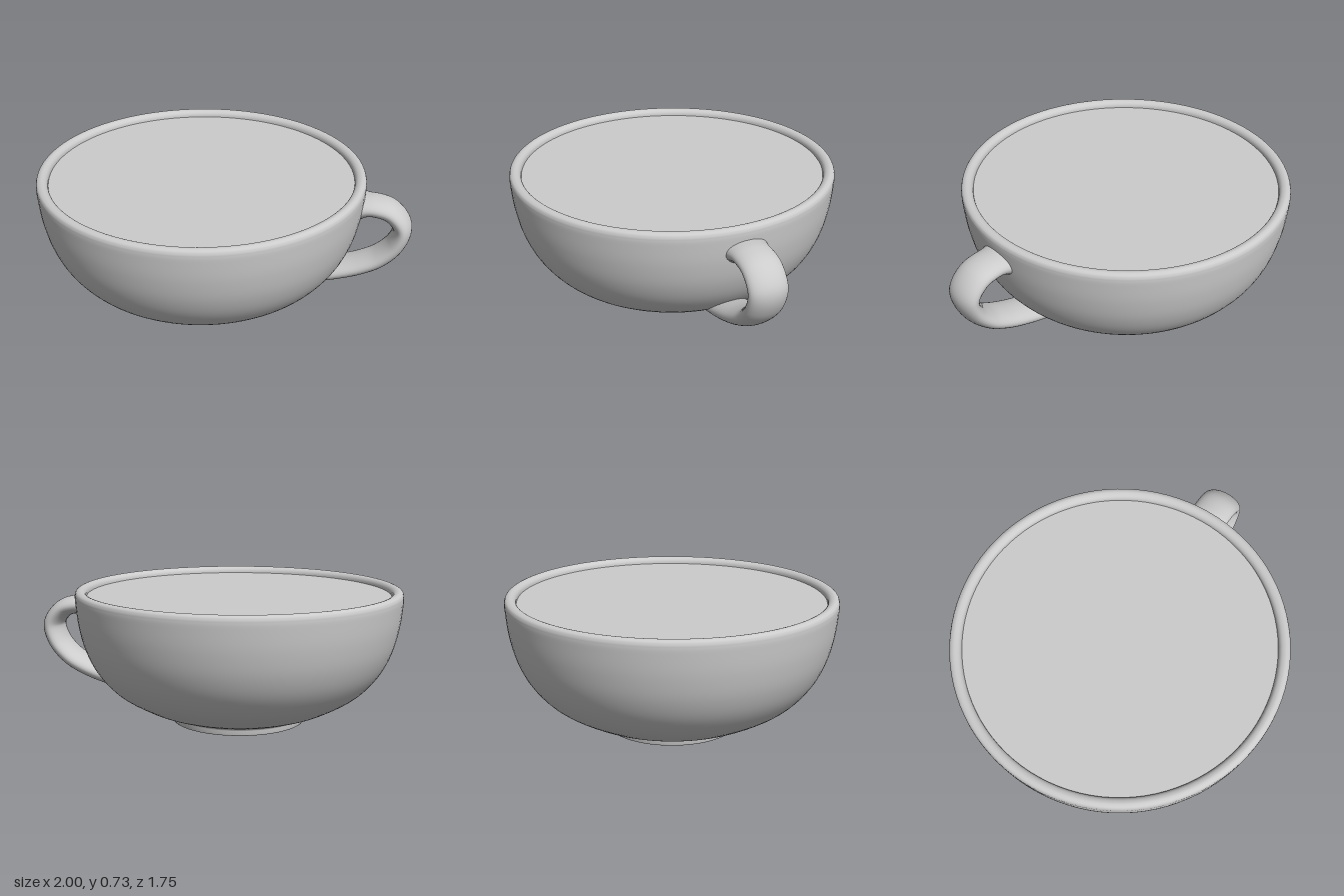
import * as THREE from 'three';

const CUP_X = -0.127;
const v2 = (p) => new THREE.Vector2(p[0], p[1]);
const smooth = (pts, n) => new THREE.SplineCurve(pts.map(v2)).getPoints(n);

export function createModel() {
  const group = new THREE.Group();
  const material = new THREE.MeshStandardMaterial({ color: 0xcccccc, side: THREE.DoubleSide });

  const add = (name, geometry, x = 0, y = 0) => {
    const mesh = new THREE.Mesh(geometry, material);
    mesh.name = name;
    mesh.position.set(x, y, 0);
    group.add(mesh);
  };

  // Bowl: foot ring, curved outer wall, rolled rim and inner wall in one profile
  const foot = [[0, 0], [0.34, 0], [0.348, 0], [0.358, 0.003], [0.363, 0.01], [0.363, 0.03], [0.366, 0.037]].map(v2);
  const outer = smooth([
    [0.375, 0.043], [0.45, 0.067], [0.54, 0.105], [0.67, 0.185], [0.765, 0.29],
    [0.825, 0.41], [0.858, 0.54], [0.872, 0.66], [0.873, 0.695],
  ], 40);
  const rim = smooth([
    [0.873, 0.7], [0.867, 0.716], [0.853, 0.724], [0.84, 0.725],
    [0.824, 0.719], [0.813, 0.705], [0.81, 0.685],
  ], 18);
  const inner = smooth([
    [0.809, 0.66], [0.79, 0.53], [0.74, 0.38], [0.63, 0.24], [0.45, 0.13], [0.2, 0.08], [0, 0.075],
  ], 24);
  add('bowl', new THREE.LatheGeometry([...foot, ...outer, ...rim, ...inner], 96), CUP_X);

  // Drink: flat disc just below the rim
  const drink = new THREE.CircleGeometry(0.812, 96);
  drink.rotateX(-Math.PI / 2);
  add('drink', drink, CUP_X, 0.69);

  // Handle: round tube widened along z to an oval section
  const path = new THREE.CatmullRomCurve3([
    [0.7, 0.592], [0.8, 0.594], [0.885, 0.567], [0.946, 0.485], [0.92, 0.385],
    [0.84, 0.297], [0.74, 0.243], [0.62, 0.203], [0.5, 0.175], [0.42, 0.165],
  ].map(([x, y]) => new THREE.Vector3(x, y, 0)));
  const handle = new THREE.TubeGeometry(path, 80, 0.051, 32);
  handle.scale(1, 1, 2.06);

  // Slight flare where the upper end meets the bowl
  const pos = handle.attributes.position;
  for (let i = 0; i < pos.count; i++) {
    const x = pos.getX(i), y = pos.getY(i);
    if (y < 0.5 || x > 0.78) continue;
    const k = 1 + 0.35 * Math.min(1, (0.78 - x) / 0.05) ** 2;
    pos.setY(i, 0.593 + (y - 0.593) * k);
    pos.setZ(i, pos.getZ(i) * (1 + (k - 1) * 0.25));
  }
  add('handle', handle);

  return group;
}
